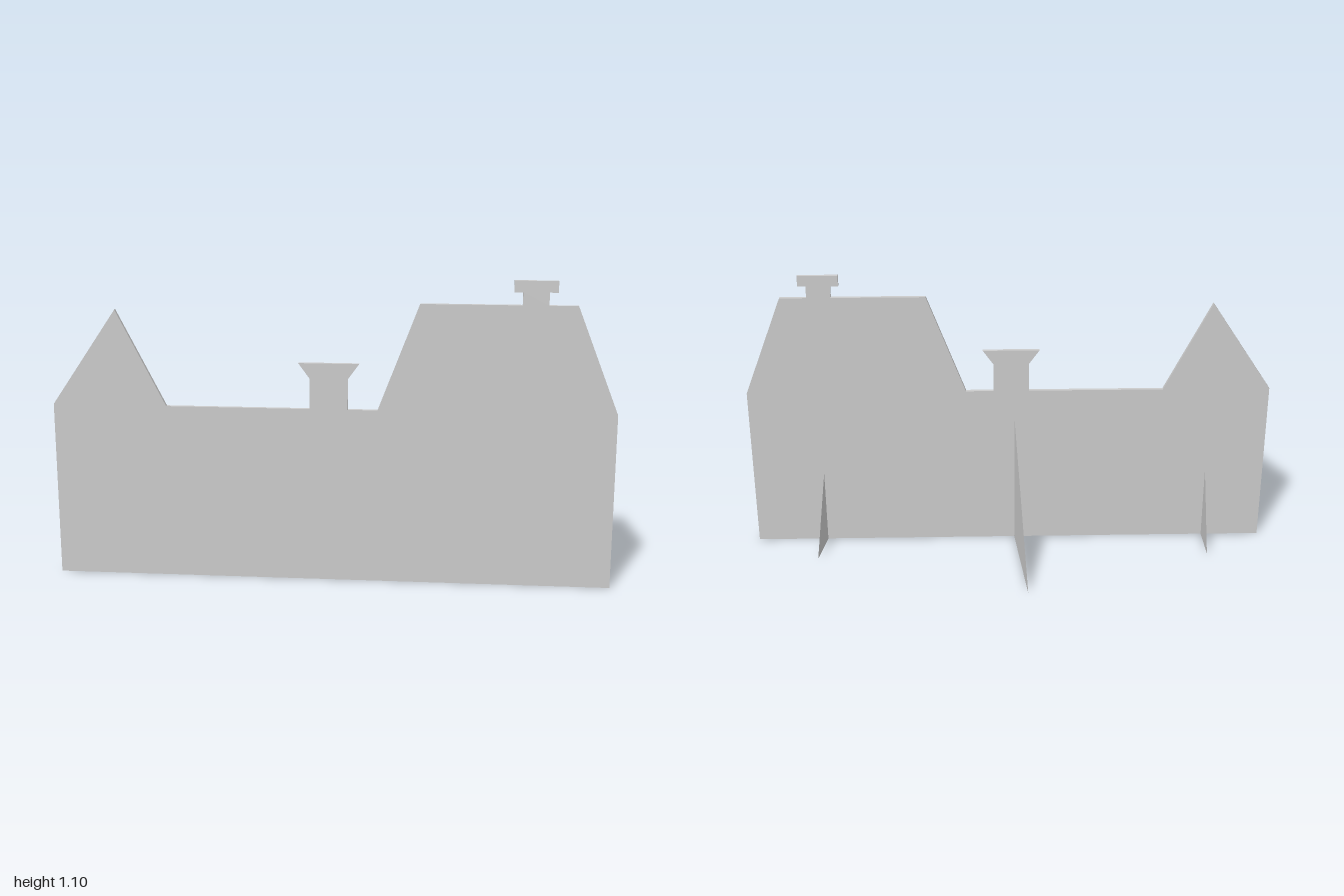
import * as THREE from 'three';

const FRONT = 0.226, BACK = 0.211;

const polygon = (points) => new THREE.Shape(points.map(([x, y]) => new THREE.Vector2(x, y)));

export function createModel() {
  const model = new THREE.Group();
  const material = new THREE.MeshStandardMaterial({ color: 0xcccccc, flatShading: true, side: THREE.DoubleSide });

  // Flat upright panel cut to a skyline with a peak and two chimneys
  const skyline = polygon([
    [-1, 0], [1, 0], [1, 0.635], [0.85, 1.015],
    // small capped chimney on the high roof
    [0.75, 1.015], [0.75, 1.06], [0.78, 1.06], [0.78, 1.1],
    [0.63, 1.1], [0.63, 1.06], [0.66, 1.06], [0.66, 1.015],
    [0.31, 1.015], [0.165, 0.635],
    // flared chimney on the low roof
    [0.06, 0.635], [0.06, 0.745], [0.1, 0.8],
    [-0.115, 0.8], [-0.075, 0.745], [-0.075, 0.635],
    // pointed gable
    [-0.59, 0.635], [-0.765, 0.98], [-1, 0.635],
  ]);
  const panelGeometry = new THREE.ExtrudeGeometry(skyline, { depth: FRONT - BACK, bevelEnabled: false });
  const panel = new THREE.Mesh(panelGeometry, material);
  panel.name = 'skylinePanel';
  panel.position.z = BACK;
  model.add(panel);

  // Thin triangular brace running from the panel's back to a foot at (footX, footZ)
  function addBrace(name, x, footX, footZ, height) {
    const dx = footX - x, dz = footZ - BACK;
    const triangle = polygon([[0, 0], [Math.hypot(dx, dz), 0], [0, height]]);
    const brace = new THREE.Mesh(new THREE.ShapeGeometry(triangle), material);
    brace.name = name;
    brace.position.set(x, 0, BACK);
    brace.rotation.y = Math.atan2(-dz, dx);
    model.add(brace);
  }
  addBrace('rightBrace', -0.773, -0.773, 0.05, 0.292);
  addBrace('centreBrace', -0.02, -0.06, -0.226, 0.525);
  addBrace('leftBrace', 0.726, 0.75, 0.05, 0.292);

  return model;
}
